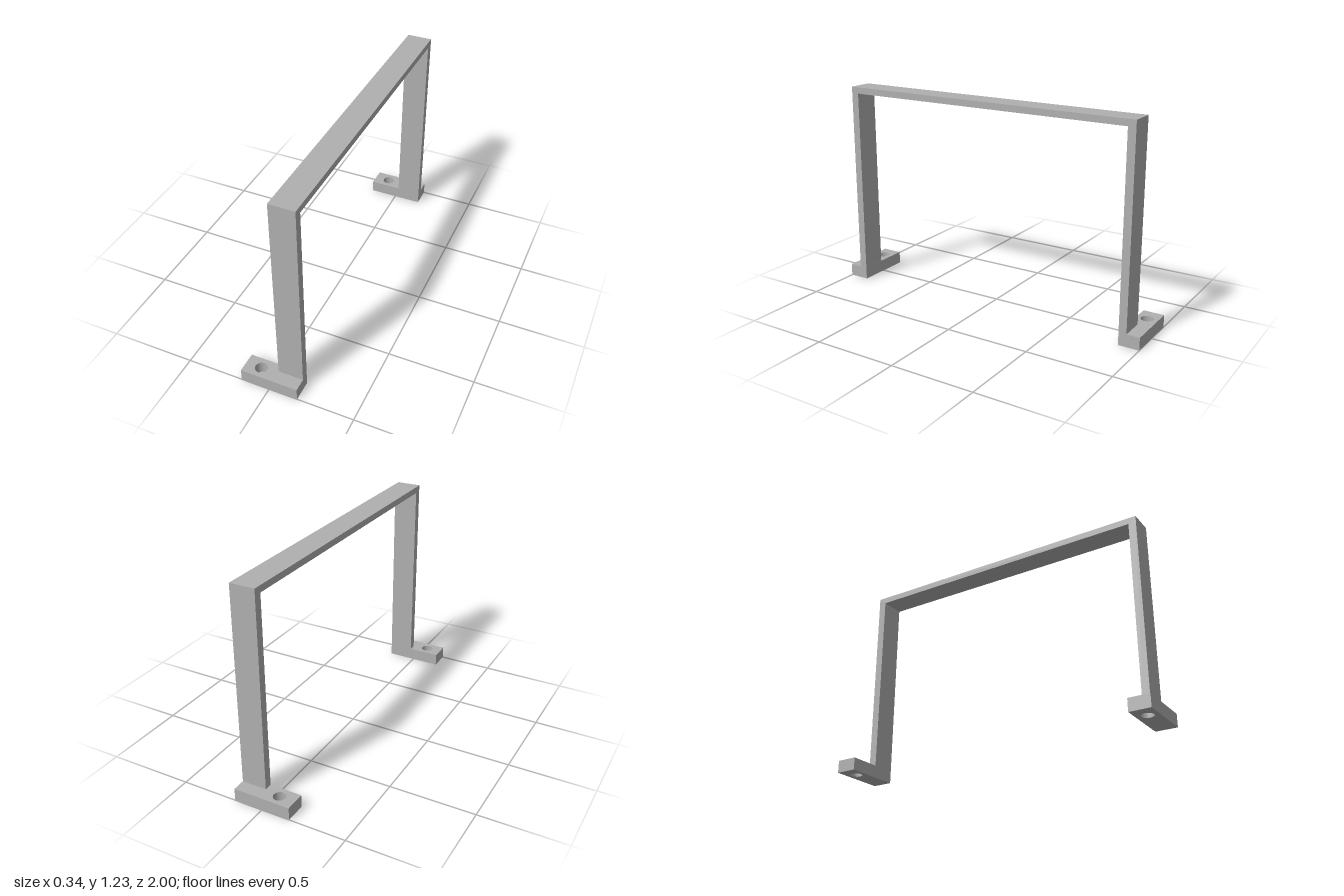
import * as THREE from 'three';

const HALF_W = 0.169, POST_X = 0.022;           // overall half width, inner side of the strap
const HEIGHT = 1.231, FOOT_H = 0.074, BEAM_Y = 1.193;
const OUTER_Z = 0.923, INNER_Z = 0.877;         // faces of the uprights
const HOLE_X = -0.075, HOLE_R = 0.036;

function polygon(points) {
  return new THREE.Shape(points.map(([x, y]) => new THREE.Vector2(x, y)));
}

export function createModel() {
  const group = new THREE.Group();
  const grey = new THREE.MeshStandardMaterial({ color: 0xb0b0b0 });
  grey.name = 'grey';

  // Two uprights and the crossbar as one bent strap
  const arch = polygon([
    [-OUTER_Z, FOOT_H], [-INNER_Z, FOOT_H], [-INNER_Z, BEAM_Y], [INNER_Z, BEAM_Y],
    [INNER_Z, FOOT_H], [OUTER_Z, FOOT_H], [OUTER_Z, HEIGHT], [-OUTER_Z, HEIGHT],
  ]);
  const archGeometry = new THREE.ExtrudeGeometry(arch, { depth: HALF_W - POST_X, bevelEnabled: false });
  archGeometry.rotateY(Math.PI / 2).translate(POST_X, 0, 0);
  const frame = new THREE.Mesh(archGeometry, grey);
  frame.name = 'archFrame';
  group.add(frame);

  // Mounting feet, each with a through screw hole
  const halfDepth = (1 - INNER_Z) / 2;
  const plate = polygon([
    [-HALF_W, -halfDepth], [HALF_W, -halfDepth], [HALF_W, halfDepth], [-HALF_W, halfDepth],
  ]);
  plate.holes.push(new THREE.Path().absarc(HOLE_X, 0, HOLE_R, 0, Math.PI * 2, true));
  const footGeometry = new THREE.ExtrudeGeometry(plate, { depth: FOOT_H, bevelEnabled: false, curveSegments: 32 });
  footGeometry.rotateX(-Math.PI / 2);
  for (const side of [1, -1]) {
    const foot = new THREE.Mesh(footGeometry, grey);
    foot.name = side > 0 ? 'frontFoot' : 'backFoot';
    foot.position.z = side * (1 - halfDepth);
    group.add(foot);
  }
  return group;
}
